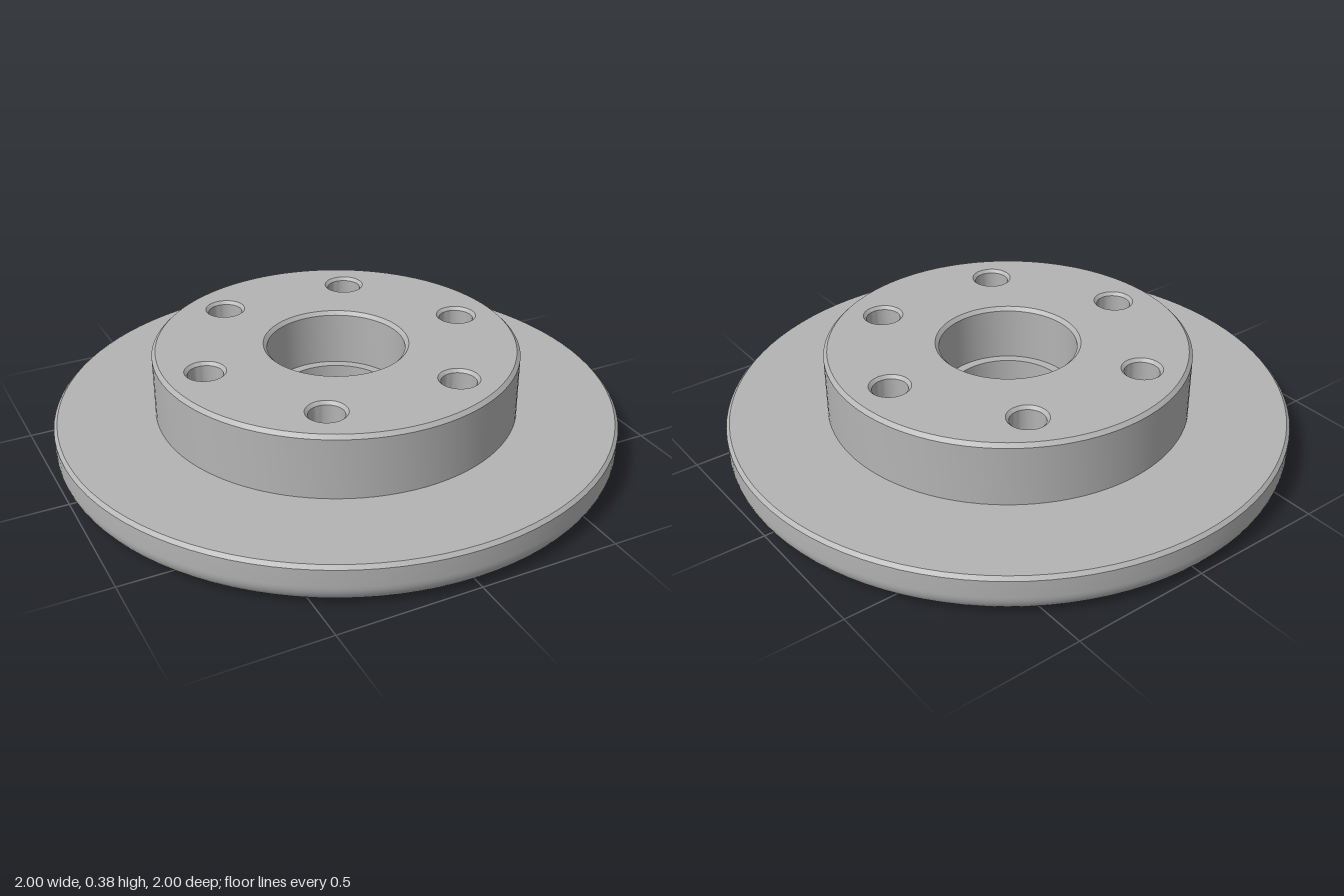
import * as THREE from 'three';
import { toCreasedNormals } from 'three/addons/utils/BufferGeometryUtils.js';

const TOP = 0.385, FLANGE = 0.155, LEDGE = 0.18, RECESS = 0.093, POCKET = 0.087;
const BOLT_CIRCLE = 0.492, BOLT_TOP = 0.072, BOLT_END = 0.053, HEX = 0.1;

// Regular polygon outline, first corner on the z axis
function polygon(r, n, cx = 0, cy = 0) {
  return Array.from({ length: n }, (_, i) => {
    const a = Math.PI / 2 + (i / n) * Math.PI * 2;
    return new THREE.Vector2(cx + r * Math.cos(a), cy + r * Math.sin(a));
  });
}

// Flat horizontal plate with cut-outs, facing up or down
function face(outline, holes, y, up) {
  const shape = new THREE.Shape(outline);
  holes.forEach(h => shape.holes.push(new THREE.Path(h)));
  return new THREE.ShapeGeometry(shape).rotateX(up ? -Math.PI / 2 : Math.PI / 2).translate(0, y, 0);
}

function turned(profile, segments) {
  const points = profile.map(([r, y]) => new THREE.Vector2(r, y));
  return toCreasedNormals(new THREE.LatheGeometry(points, segments), 0.4);
}

export function createModel() {
  const steel = new THREE.MeshStandardMaterial({ color: 0xb4b4b4 });
  steel.name = 'grey steel';
  const model = new THREE.Group();
  model.name = 'flangedHub';
  const add = (name, geometry, parent = model) => {
    const mesh = new THREE.Mesh(geometry, steel);
    mesh.name = name;
    parent.add(mesh);
    return mesh;
  };

  const centres = Array.from({ length: 6 }, (_, i) => {
    const a = (i * Math.PI) / 3;
    return [BOLT_CIRCLE * Math.cos(a), BOLT_CIRCLE * Math.sin(a)];
  });

  // Flange rim with rounded lower edge, then the raised boss
  const outer = [];
  for (let i = 0; i <= 10; i++) {
    const a = (i / 10) * Math.PI / 2;
    outer.push([0.92 + 0.08 * Math.sin(a), 0.08 - 0.08 * Math.cos(a)]);
  }
  outer.push([1, FLANGE - 0.012], [0.988, FLANGE], [0.645, FLANGE], [0.645, TOP - 0.013], [0.632, TOP]);
  add('flangeAndBoss', turned(outer, 96));

  // Stepped centre bore, opening into a wide recess underneath
  add('centreBore', turned([
    [0.256, TOP], [0.243, TOP - 0.013], [0.243, LEDGE], [0.21, LEDGE],
    [0.21, RECESS], [0.37, RECESS], [0.37, 0],
  ], 96));

  // Flat faces pierced by the bore and bolt holes
  add('bossTop', face(polygon(0.632, 96),
    [polygon(0.256, 96), ...centres.map(([x, z]) => polygon(BOLT_TOP, 48, x, z))], TOP, true));
  add('underside', face(polygon(0.92, 96),
    [polygon(0.37, 96), ...centres.map(([x, z]) => polygon(HEX, 6, x, z))], 0, false));

  // Bolt holes with chamfered tops and hexagonal nut pockets below
  const shank = turned([
    [BOLT_TOP, TOP], [0.061, TOP - 0.011], [0.061, LEDGE], [BOLT_END, LEDGE], [BOLT_END, POCKET],
  ], 48);
  const pocketWall = turned([[HEX, POCKET], [HEX, 0]], 6);
  const pocketFloor = face(polygon(HEX, 6), [polygon(BOLT_END, 48)], POCKET, false);
  for (const [x, z] of centres) {
    const hole = new THREE.Group();
    hole.name = 'boltHole';
    hole.position.set(x, 0, z);
    add('boltBore', shank, hole);
    add('nutPocketWall', pocketWall, hole);
    add('nutPocketFloor', pocketFloor, hole);
    model.add(hole);
  }
  return model;
}
